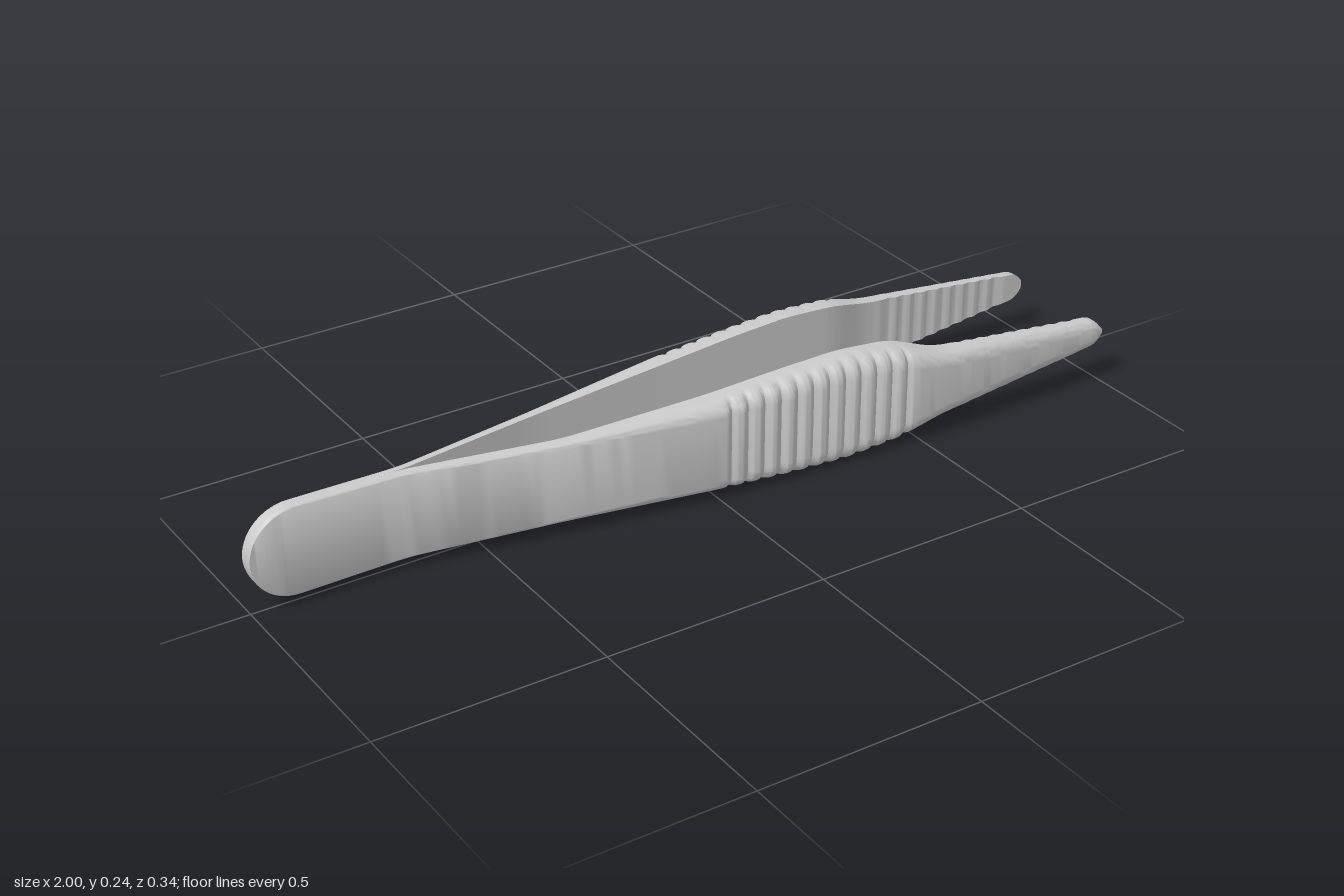
import * as THREE from 'three';
import { toCreasedNormals } from 'three/addons/utils/BufferGeometryUtils.js';

const MID_Y = 0.122;

// Stations along the arm: x, inner z, outer z, half height, edge rounding (share of half height)
const STATIONS = [
  [-1.1, 0, 0.017, 0.1, 0.05],
  [-0.9, 0, 0.017, 0.1, 0.05],
  [-0.66, 0, 0.019, 0.097, 0.06],
  [-0.33, 0.056, 0.084, 0.091, 0.12],
  [0, 0.079, 0.14, 0.104, 0.3],
  [0.18, 0.086, 0.153, 0.115, 0.36],
  [0.32, 0.09, 0.16, 0.12, 0.38],
  [0.45, 0.095, 0.166, 0.109, 0.38],
  [0.55, 0.121, 0.171, 0.077, 0.4],
  [0.97, 0.127, 0.162, 0.032, 0.7],
  [1.1, 0.129, 0.159, 0.022, 0.8],
];

function linear(x, k) {
  let i = 0;
  while (i < STATIONS.length - 2 && x > STATIONS[i + 1][0]) i++;
  const a = STATIONS[i], b = STATIONS[i + 1];
  return THREE.MathUtils.lerp(a[k], b[k], THREE.MathUtils.clamp((x - a[0]) / (b[0] - a[0]), 0, 1));
}

// Average of neighbouring values softens the bends
const soft = (x, k, w = 0.022) => (linear(x - w, k) + linear(x, k) + linear(x + w, k)) / 3;

// Repeating bumps between two stations: 0 on the crest, 1 in the groove
function ripple(x, start, end, count) {
  if (x < start || x > end) return 0;
  return 0.5 - 0.5 * Math.cos(((x - start) / (end - start)) * count * Math.PI * 2);
}

// Cross-section: flat inner face, rounded outer edges
function section(x) {
  let h = soft(x, 3);
  const tail = Math.max(0, (-0.9 - x) / 0.1), nose = Math.max(0, (x - 0.965) / 0.035);
  h *= Math.sqrt(Math.max(0.0004, 1 - tail * tail)) * Math.sqrt(Math.max(0.12, 1 - nose * nose));
  const zi = soft(x, 1) + 0.004 * ripple(x, 0.6, 0.94, 9);
  const zo = soft(x, 2) - 0.011 * ripple(x, 0.01, 0.48, 12) ** 2 - 0.006 * nose * nose;
  const ry = h * soft(x, 4), rz = (zo - zi) * 0.55;
  const upper = [];
  for (let i = 0; i <= 6; i++) {
    const a = (i / 6) * Math.PI / 2;
    upper.push([h - ry + ry * Math.sin(a), zo - rz + rz * Math.cos(a)]);
  }
  upper.push([h, zi]);
  const lower = upper.map(([y, z]) => [-y, z]).reverse();
  return [...lower, ...upper];
}

// Sample positions: dense at the round ends, the grip and the serrations
function samples() {
  const xs = [];
  for (let i = 0; i < 14; i++) xs.push(-0.9 - 0.1 * Math.cos((i / 14) * Math.PI / 2));
  for (let i = 0; i < 45; i++) xs.push(-0.9 + (0.91 * i) / 45);
  for (let i = 0; i < 120; i++) xs.push(0.01 + (0.47 * i) / 120);
  for (let i = 0; i < 12; i++) xs.push(0.48 + (0.12 * i) / 12);
  for (let i = 0; i < 72; i++) xs.push(0.6 + (0.34 * i) / 72);
  xs.push(0.94, 0.955);
  for (let i = 0; i <= 8; i++) xs.push(0.965 + 0.035 * Math.sin((i / 8) * Math.PI / 2));
  return xs;
}

function armGeometry(side) {
  const xs = samples(), pos = [], index = [];
  const tri = (a, b, c) => (side > 0 ? index.push(a, b, c) : index.push(a, c, b));
  let n = 0;
  for (const x of xs) {
    const ring = section(x);
    n = ring.length;
    for (const [y, z] of ring) pos.push(x, MID_Y + y, side * z);
  }
  for (let i = 0; i < xs.length - 1; i++) {
    for (let j = 0; j < n; j++) {
      const a = i * n + j, b = i * n + ((j + 1) % n);
      tri(a, a + n, b);
      tri(b, a + n, b + n);
    }
  }
  // End caps
  const last = (xs.length - 1) * n;
  for (let j = 1; j < n - 1; j++) {
    tri(0, j, j + 1);
    tri(last, last + j + 1, last + j);
  }
  const geo = new THREE.BufferGeometry();
  geo.setAttribute('position', new THREE.Float32BufferAttribute(pos, 3));
  geo.setIndex(index);
  return toCreasedNormals(geo, 0.7);
}

export function createModel() {
  const group = new THREE.Group();
  group.name = 'tweezers';
  const material = new THREE.MeshStandardMaterial({ color: 0xcccccc });
  // Two mirrored arms, joined flat against each other at the tail
  for (const [name, side] of [['frontArm', 1], ['backArm', -1]]) {
    const arm = new THREE.Mesh(armGeometry(side), material);
    arm.name = name;
    group.add(arm);
  }
  return group;
}
